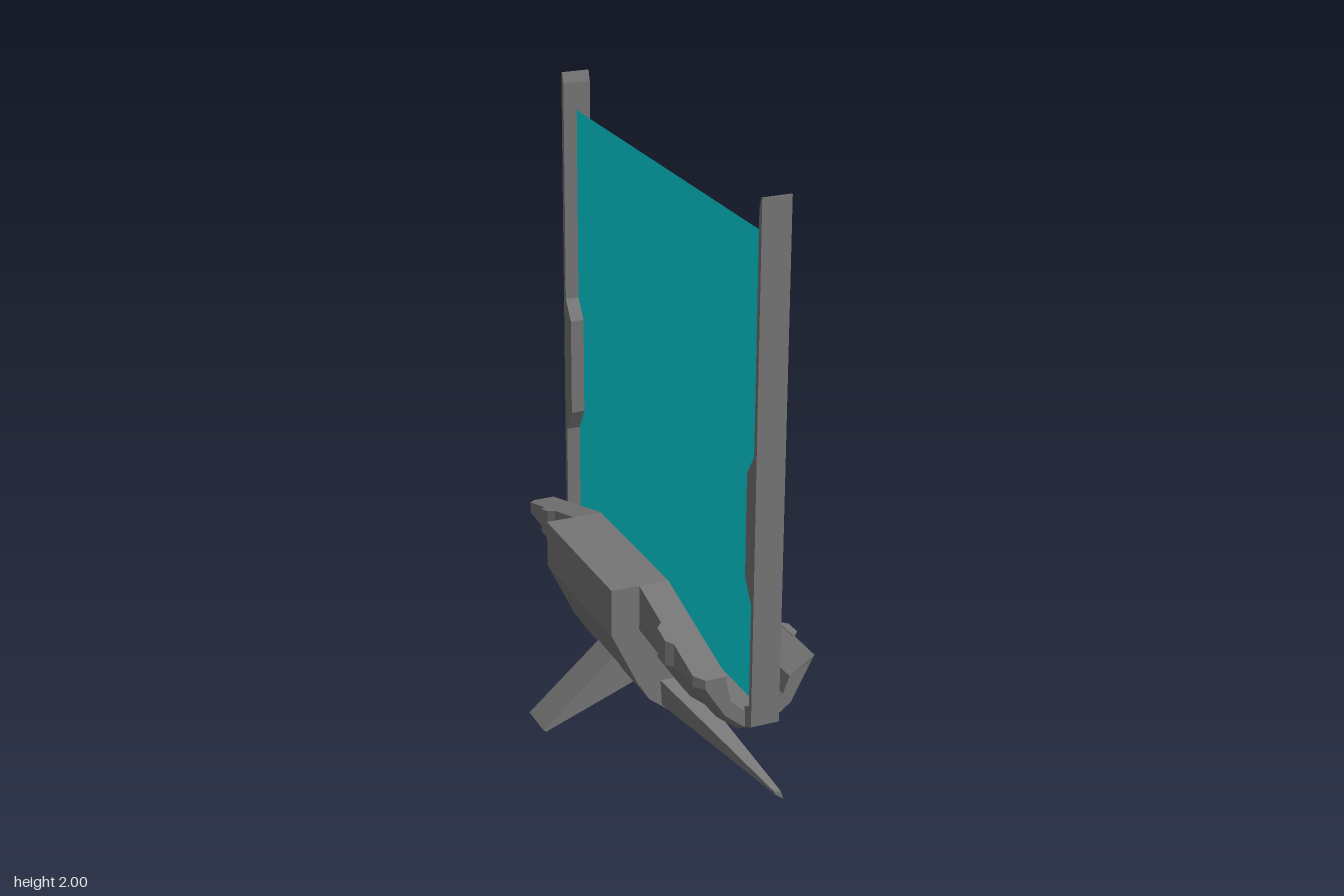
import * as THREE from 'three';

const grey = new THREE.MeshStandardMaterial({ color: 0x767676, flatShading: true });
const glow = new THREE.MeshStandardMaterial({ color: 0x00e0e9, side: THREE.DoubleSide });

// Skin counter-clockwise [x, y] loops placed at rising z, with capped ends
function loft(sections) {
  const pos = [];
  const put = (s, i) => pos.push(...s.loop[i % s.loop.length], s.z);
  for (let k = 0; k + 1 < sections.length; k++) {
    const a = sections[k], b = sections[k + 1];
    for (let i = 0; i < a.loop.length; i++) {
      put(a, i); put(a, i + 1); put(b, i + 1);
      put(a, i); put(b, i + 1); put(b, i);
    }
  }
  const cap = (s, flip) => {
    const pts = s.loop.map(([x, y]) => new THREE.Vector2(x, y));
    for (const [i, j, k] of THREE.ShapeUtils.triangulateShape(pts, [])) {
      put(s, i); put(s, flip ? k : j); put(s, flip ? j : k);
    }
  };
  cap(sections[0], true);
  cap(sections[sections.length - 1], false);
  const g = new THREE.BufferGeometry();
  g.setAttribute('position', new THREE.Float32BufferAttribute(pos, 3));
  g.computeVertexNormals();
  return g;
}

// Prism of a profile in the xy plane, between two z values
const prism = (loop, z0, z1) => loft([{ z: z0, loop }, { z: z1, loop }]);

export function createModel() {
  const group = new THREE.Group();
  const add = (name, geometry, material = grey) => {
    const mesh = new THREE.Mesh(geometry, material);
    mesh.name = name;
    group.add(mesh);
    return mesh;
  };

  // The back wall of the trough rises from its ends to the middle
  const wallTop = z => 0.605 - 0.125 * THREE.MathUtils.clamp((Math.abs(z) - 0.28) / 0.44, 0, 1);
  const outer = (z, s) => [
    [-0.105, wallTop(z)], [-0.105, 0.45], [-0.025, 0.33], [0.05, 0.27],
    [0.155, 0.27], [0.235, 0.33], [0.31, 0.473],
  ].map(([x, y]) => [0.1 + (x - 0.1) * s, y < 0.42 ? 0.42 + (y - 0.42) * s : y]);
  const inner = z => [
    [0.21, 0.435], [0.188, 0.378], [0.155, 0.35], [0.055, 0.35],
    [0.01, 0.39], [-0.005, 0.46], [-0.005, wallTop(z)],
  ];

  // Trough with chamfered ends
  add('trough', loft([[-0.72, 0.86], [-0.69, 1], [-0.28, 1], [0.28, 1], [0.69, 1], [0.72, 0.86]]
    .map(([z, s]) => ({ z, loop: [...outer(z, s), ...inner(z)] }))));

  // Raised bands around the outside of the trough
  for (const side of [-1, 1]) {
    add('troughBand', loft([[-0.05, 1], [-0.03, 1.1], [0.03, 1.1], [0.05, 1]].map(([dz, s]) => {
      const z = side * 0.5 + dz;
      return { z, loop: [...outer(z, s), ...outer(z, 0.98).reverse()] };
    })));
  }

  // Thick bracket under the middle of the trough
  add('bracket', prism([
    [-0.2, 0.605], [-0.2, 0.445], [-0.105, 0.245], [0.06, 0.24], [0.2, 0.24], [0.27, 0.29],
    [0.352, 0.425], [0.295, 0.448], [0.225, 0.35], [0.15, 0.3], [0.05, 0.3],
    [-0.015, 0.35], [-0.09, 0.46], [-0.09, 0.605],
  ], -0.28, 0.28));

  // Crossbar below the bracket, with a leg tapering from each end to a front foot
  add('crossbar', prism([[-0.105, 0.25], [-0.07, 0.19], [0, 0.135], [0.065, 0.25]], -0.28, 0.28));
  const root = [[-0.03, 0.25], [-0.025, 0.16], [0, 0.135], [0.065, 0.25]];
  const tip = [[0.168, 0.032], [0.168, 0.024], [0.2, 0], [0.19, 0.03]];
  add('frontLeg', loft([{ z: -0.72, loop: tip }, { z: -0.28, loop: root }]));
  add('frontLeg', loft([{ z: 0.28, loop: root }, { z: 0.72, loop: tip }]));

  // Single rear leg
  add('backLeg', prism([
    [-0.1, 0.25], [-0.355, 0.025], [-0.345, 0.018], [-0.03, 0.14], [0.01, 0.2],
  ], -0.065, 0.065));

  // Side posts: profile in z and y, with an inward grip and a foot in the trough
  const profile = [
    [0.762, 0.31], [0.762, 2], [0.755, 2], [0.745, 1.965], [0.745, 1.205], [0.7, 1.138],
    [0.7, 0.798], [0.745, 0.72], [0.745, 0.375], [0.715, 0.36], [0.715, 0.285],
  ];
  for (const side of [-1, 1]) {
    const shape = new THREE.Shape(profile.map(([z, y]) => new THREE.Vector2(-side * z, y)));
    const post = new THREE.ExtrudeGeometry(shape, { depth: 0.095, bevelEnabled: false });
    post.rotateY(Math.PI / 2);
    add('post', post).position.x = 0.06;
  }

  // Thin coloured screen between the posts
  const screen = add('screen', new THREE.PlaneGeometry(1.49, 1.53), glow);
  screen.rotation.y = Math.PI / 2;
  screen.position.set(0.107, 1.105, 0);

  return group;
}
